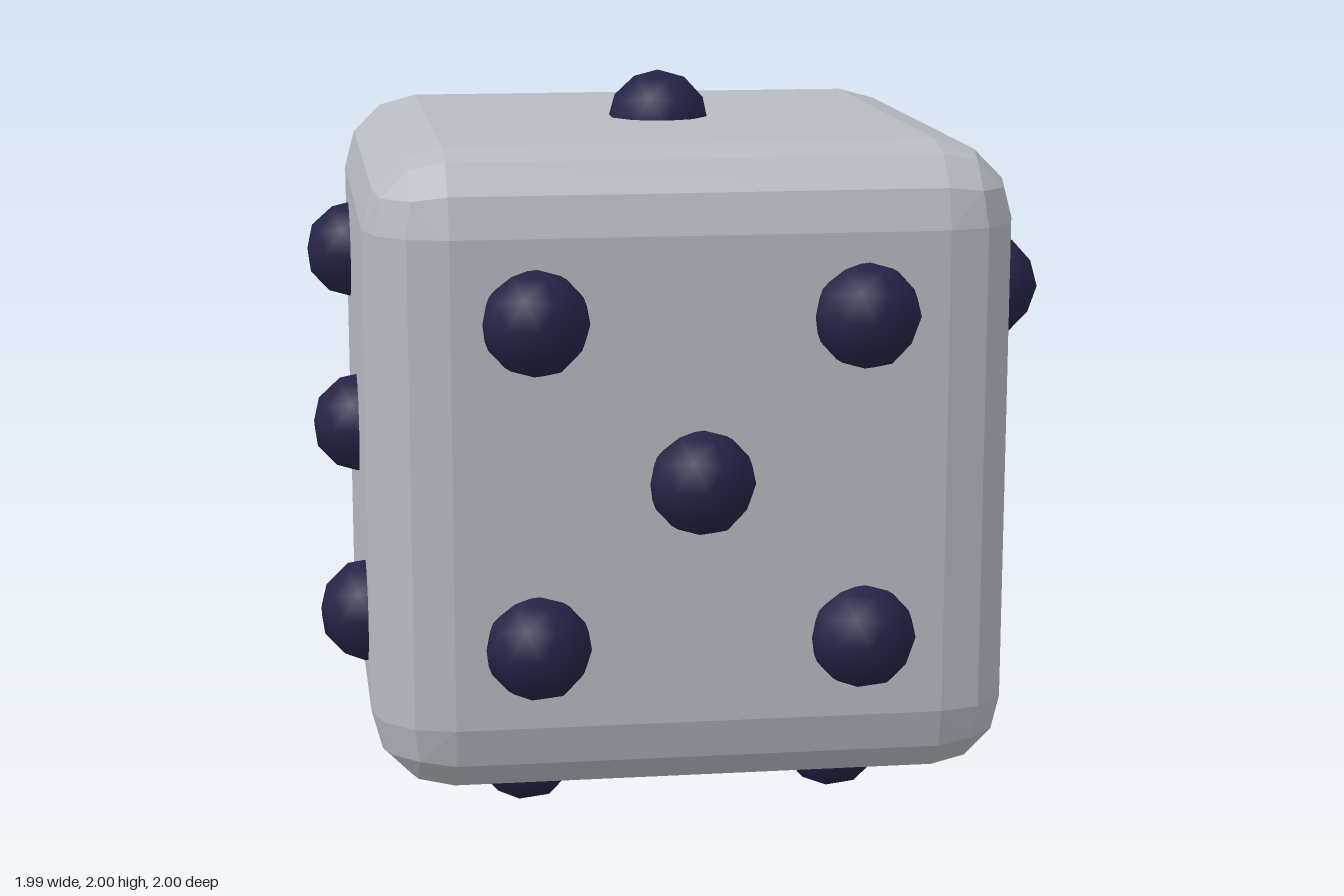
import * as THREE from 'three';
import { ConvexGeometry } from 'three/addons/geometries/ConvexGeometry.js';

const FLAT = 0.655;     // half width of each flat face
const BEVEL = 0.215;    // edge rounding radius
const PIP_RADIUS = 0.145;
const PIP_DEPTH = 0.855; // distance of pip centres from the cube centre
const GAP = 0.435;       // pip spacing on a face

// Cube whose edges are rounded in three flat steps, with faceted corners
function bodyGeometry() {
  const c = Math.cos(Math.PI / 6), s = 0.5;
  const octant = [
    [1, 0, 0], [0, 1, 0], [0, 0, 1],
    [c, s, 0], [s, c, 0], [c, 0, s], [s, 0, c], [0, c, s], [0, s, c],
    [0.78, 0.442, 0.442], [0.442, 0.78, 0.442], [0.442, 0.442, 0.78],
  ];
  const points = [];
  for (const sx of [-1, 1]) for (const sy of [-1, 1]) for (const sz of [-1, 1]) {
    for (const [x, y, z] of octant) {
      points.push(new THREE.Vector3(
        sx * (FLAT + BEVEL * x), sy * (FLAT + BEVEL * y), sz * (FLAT + BEVEL * z)));
    }
  }
  return new ConvexGeometry(points);
}

export function createModel() {
  const grey = new THREE.MeshStandardMaterial({ color: 0xb8bac2 });
  grey.name = 'light grey';
  const navy = new THREE.MeshStandardMaterial({ color: 0x242346 });
  navy.name = 'dark navy';

  const die = new THREE.Group();
  die.name = 'die';
  die.position.y = 1;

  const body = new THREE.Mesh(bodyGeometry(), grey);
  body.name = 'body';
  die.add(body);

  // Low-poly ball with a vertex pointing straight up
  const pipGeometry = new THREE.IcosahedronGeometry(PIP_RADIUS, 1);
  pipGeometry.rotateZ(-Math.atan2(1, (1 + Math.sqrt(5)) / 2));

  const corners = [[-1, -1], [-1, 1], [1, -1], [1, 1]];
  // Each face: its pips as (u, v) steps, and how they map into space
  const faces = [
    ['topPips', [[0, 0]], (u, v) => [u, PIP_DEPTH, v]],
    ['bottomPips', [...corners, [0, 0]], (u, v) => [u, -PIP_DEPTH, v]],
    ['frontPips', [...corners, [0, 0]], (u, v) => [u, v, PIP_DEPTH]],
    ['backPips', corners, (u, v) => [u, v, -PIP_DEPTH]],
    ['leftPips', [[1, 1], [-1, -1]], (u, v) => [PIP_DEPTH, v, u]],
    ['rightPips', [[-1, 1], [0, 0], [1, -1]], (u, v) => [-PIP_DEPTH, v, u]],
  ];
  for (const [name, spots, place] of faces) {
    const group = new THREE.Group();
    group.name = name;
    for (const [u, v] of spots) {
      const pip = new THREE.Mesh(pipGeometry, navy);
      pip.name = 'pip';
      pip.position.set(...place(u * GAP, v * GAP));
      group.add(pip);
    }
    die.add(group);
  }

  const model = new THREE.Group();
  model.name = 'model';
  model.add(die);
  return model;
}
